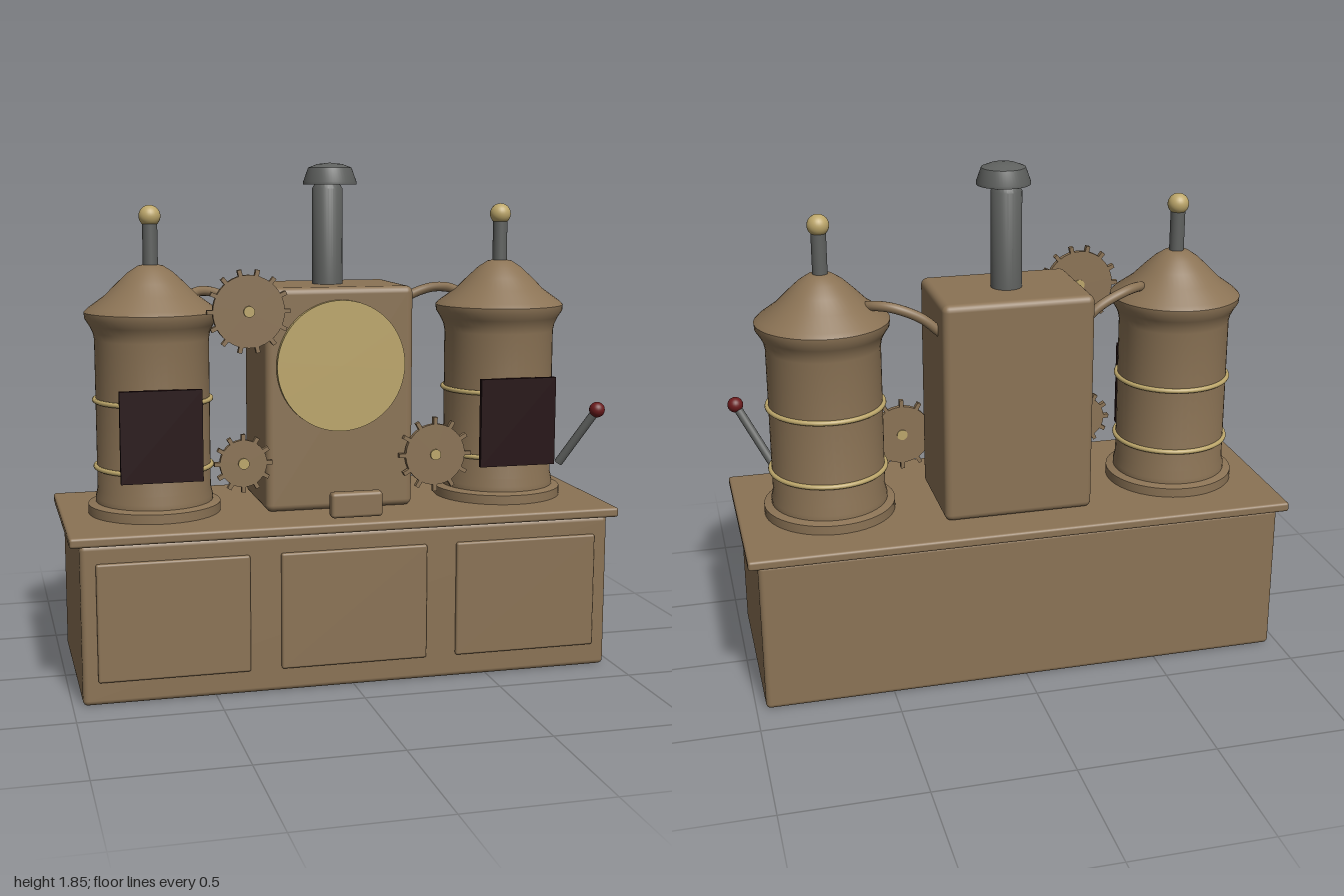
import * as THREE from 'three';
import { RoundedBoxGeometry } from 'three/addons/geometries/RoundedBoxGeometry.js';
import { toCreasedNormals } from 'three/addons/utils/BufferGeometryUtils.js';

function material(name, color) {
  const m = new THREE.MeshStandardMaterial({ color });
  m.name = name;
  return m;
}

export function createModel() {
  const model = new THREE.Group();
  model.name = 'machine';
  const brown = material('bronze brown', 0x8b7355);
  const gold = material('brass', 0xbca66a);
  const grey = material('iron grey', 0x5f615f);
  const dark = material('dark panel', 0x220a0d);
  const red = material('dark red', 0x6a1a1c);

  function add(name, geometry, mat, x = 0, y = 0, z = 0, parent = model) {
    const mesh = new THREE.Mesh(geometry, mat);
    mesh.name = name;
    mesh.position.set(x, y, z);
    parent.add(mesh);
    return mesh;
  }
  // Rounded box given by its limits
  function box(name, mat, x0, x1, y0, y1, z0, z1, r) {
    return add(name, new RoundedBoxGeometry(x1 - x0, y1 - y0, z1 - z0, 3, r), mat,
      (x0 + x1) / 2, (y0 + y1) / 2, (z0 + z1) / 2);
  }
  const lathe = (points, segments = 48) => toCreasedNormals(
    new THREE.LatheGeometry(points.map(p => new THREE.Vector2(...p)), segments), 0.6);

  // Cabinet base with worktop and raised front panels
  box('base', brown, -0.965, 0.965, 0, 0.567, -0.37, 0.355, 0.018);
  box('worktop', brown, -1, 1, 0.565, 0.6, -0.396, 0.378, 0.01);
  for (const x of [-0.645, 0, 0.645])
    box('frontPanel', brown, x - 0.267, x + 0.267, 0.083, 0.502, 0.34, 0.368, 0.008);
  box('plaque', brown, -0.093, 0.093, 0.622, 0.712, 0.348, 0.393, 0.012);

  // Central housing with dial
  box('housing', brown, -0.275, 0.275, 0.6, 1.412, -0.25, 0.15, 0.025);
  const dial = add('dial', new THREE.CylinderGeometry(0.237, 0.237, 0.02, 64), gold, 0, 1.13, 0.16);
  dial.rotation.x = Math.PI / 2;

  // Chimney and cap
  add('chimney', lathe([[0, 1.4], [0.056, 1.4], [0.056, 1.76], [0.046, 1.776], [0, 1.776]]), grey, 0, 0, -0.05);
  add('chimneyCap', lathe([[0, 1.775], [0.097, 1.775], [0.097, 1.785], [0.079, 1.835],
    [0.045, 1.848], [0, 1.853]]), grey, 0, 0, -0.01);

  // Twin boiler towers, mirrored
  const towerProfile = [[0, 0.6], [0.24, 0.6], [0.24, 0.634], [0.212, 0.642], [0.212, 0.66],
    [0.205, 0.69], [0.205, 1.23], [0.21, 1.255], [0.222, 1.28], [0.238, 1.305], [0.24, 1.327],
    [0.225, 1.342], [0.165, 1.385], [0.12, 1.43], [0.08, 1.467], [0.045, 1.49], [0, 1.498]];
  for (const side of [-1, 1]) {
    const tower = new THREE.Group();
    tower.name = side > 0 ? 'leftTower' : 'rightTower';
    tower.position.set(side * 0.66, 0, -0.007);
    model.add(tower);
    add('boiler', lathe(towerProfile), brown, 0, 0, 0, tower);
    for (const y of [0.77, 1.012]) {
      const band = add('band', new THREE.TorusGeometry(0.209, 0.009, 10, 56), gold, 0, y, 0, tower);
      band.rotation.x = Math.PI / 2;
    }
    add('post', new THREE.CylinderGeometry(0.027, 0.027, 0.17, 24), grey, 0, 1.575, 0, tower);
    add('finial', new THREE.SphereGeometry(0.039, 28, 18), gold, 0, 1.665, 0, tower);
    add('screen', new THREE.BoxGeometry(0.29, 0.326, 0.02), dark, 0, 0.907, 0.218, tower);

    // Curved pipe from the housing to the tower roof
    const path = new THREE.CatmullRomCurve3([[0.265, 1.29, -0.145], [0.33, 1.345, -0.145],
      [0.42, 1.383, -0.13], [0.48, 1.387, -0.095], [0.522, 1.37, -0.04]]
      .map(([x, y, z]) => new THREE.Vector3(side * x, y, z)));
    add('pipe', new THREE.TubeGeometry(path, 32, 0.018, 14), brown);
    // Flat ends of the pipe
    for (const t of [0, 1]) {
      const cap = add('pipeEnd', new THREE.CircleGeometry(0.018, 14), brown);
      cap.position.copy(path.getPoint(t));
      cap.lookAt(path.getPoint(t).addScaledVector(path.getTangent(t), t ? 1 : -1));
    }
  }

  // Toothed wheels
  function gear(x, y, radius, outer, teeth) {
    const group = new THREE.Group();
    group.name = 'gear';
    group.position.set(x, y, 0.17);
    model.add(group);
    const disc = add('gearDisc', new THREE.CylinderGeometry(radius, radius, 0.02, 40), brown, 0, 0, 0, group);
    disc.rotation.x = Math.PI / 2;
    const hub = add('hub', new THREE.CylinderGeometry(0.02, 0.02, 0.032, 20), gold, 0, 0, 0.002, group);
    hub.rotation.x = Math.PI / 2;
    const length = outer - radius + 0.01;
    for (let i = 0; i < teeth; i++) {
      const a = i / teeth * Math.PI * 2, r = outer - length / 2;
      const tooth = add('tooth', new THREE.BoxGeometry(length, 0.015, 0.02), brown,
        Math.cos(a) * r, Math.sin(a) * r, 0, group);
      tooth.rotation.z = a;
    }
  }
  gear(-0.34, 1.334, 0.129, 0.15, 14);
  gear(-0.364, 0.792, 0.085, 0.105, 12);
  gear(0.353, 0.793, 0.113, 0.138, 12);

  // Side lever with knob
  const foot = new THREE.Vector3(0.85, 0.735, 0.152), tip = new THREE.Vector3(0.965, 0.945, 0.235);
  const axis = tip.clone().sub(foot);
  const lever = add('lever', new THREE.CylinderGeometry(0.016, 0.016, axis.length(), 18), grey);
  lever.position.copy(foot).add(tip).multiplyScalar(0.5);
  lever.quaternion.setFromUnitVectors(new THREE.Vector3(0, 1, 0), axis.normalize());
  add('leverKnob', new THREE.SphereGeometry(0.029, 24, 16), red, tip.x, tip.y, tip.z);

  return model;
}
